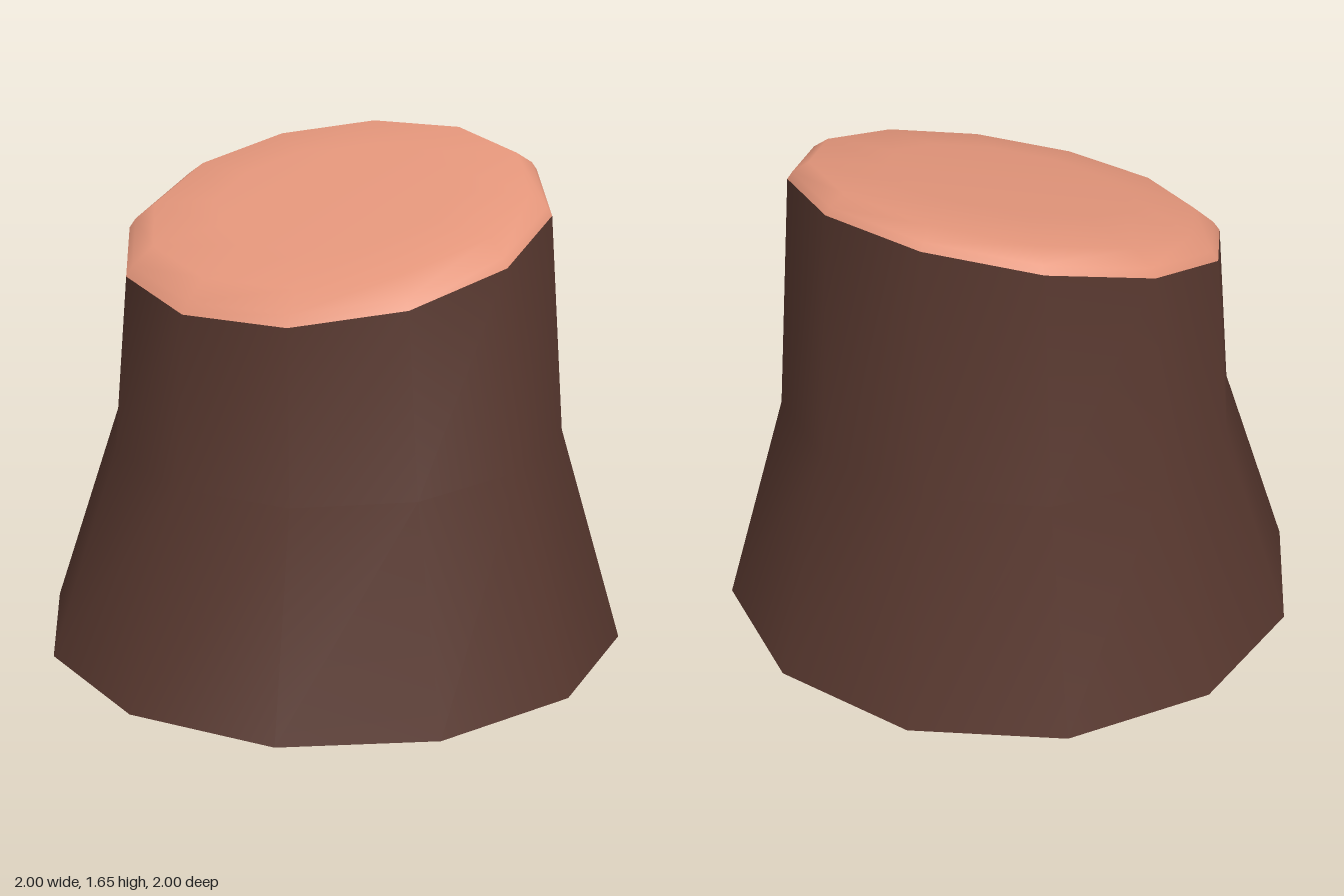
import * as THREE from 'three';

const SIDES = 12;

// Tilted ring: x and z radius, centre z, height at z = 0, slope along z, turn in degrees
function ring([rx, rz, cz, y0, slope, turn]) {
  const pts = [];
  for (let i = 0; i < SIDES; i++) {
    const a = THREE.MathUtils.degToRad(turn + (i * 360) / SIDES);
    const z = cz + rz * Math.cos(a);
    pts.push([rx * Math.sin(a), y0 + slope * z, z]);
  }
  return pts;
}

// Skin a stack of rings from bottom to top, optionally closed by a centre point
function loft(rings, closeTop) {
  const pos = rings.flatMap((r) => ring(r)).flat();
  const index = [];
  for (let k = 0; k < rings.length - 1; k++) {
    for (let i = 0; i < SIDES; i++) {
      const j = (i + 1) % SIDES;
      const a = k * SIDES + i, b = k * SIDES + j;
      index.push(a, b, b + SIDES, a, b + SIDES, a + SIDES);
    }
  }
  if (closeTop) {
    const [, , cz, y0, slope] = rings[rings.length - 1];
    const base = (rings.length - 1) * SIDES;
    const centre = pos.length / 3;
    pos.push(0, y0 + slope * cz, cz);
    for (let i = 0; i < SIDES; i++) index.push(base + i, base + ((i + 1) % SIDES), centre);
  }
  const g = new THREE.BufferGeometry();
  g.setAttribute('position', new THREE.Float32BufferAttribute(pos, 3));
  g.setIndex(index);
  g.computeVertexNormals();
  return g;
}

export function createModel() {
  const bark = new THREE.MeshStandardMaterial({ color: 0x58382f, side: THREE.DoubleSide });
  bark.name = 'bark brown';
  const wood = new THREE.MeshStandardMaterial({ color: 0xe4967b, side: THREE.DoubleSide });
  wood.name = 'cut wood';

  const foot = [1.005, 1.005, 0, 0, 0, -6.5];
  const waist = [0.777, 0.774, -0.018, 0.73, -0.042, -7];
  const rim = [0.727, 0.703, -0.017, 1.422, -0.246, -9];

  // Bark, flared at the foot and open underneath
  const trunk = new THREE.Mesh(loft([foot, waist, rim], false), bark);
  trunk.name = 'trunk';

  // Slanted cut with a rounded edge and a slight dome
  const cut = new THREE.Mesh(
    loft([
      rim,
      [0.708, 0.682, -0.021, 1.45, -0.245, -9],
      [0.645, 0.62, -0.032, 1.495, -0.243, -9],
      [0.41, 0.39, -0.015, 1.511, -0.245, -9],
    ], true),
    wood
  );
  cut.name = 'cutTop';

  const group = new THREE.Group();
  group.name = 'treeStump';
  group.add(trunk, cut);
  return group;
}
